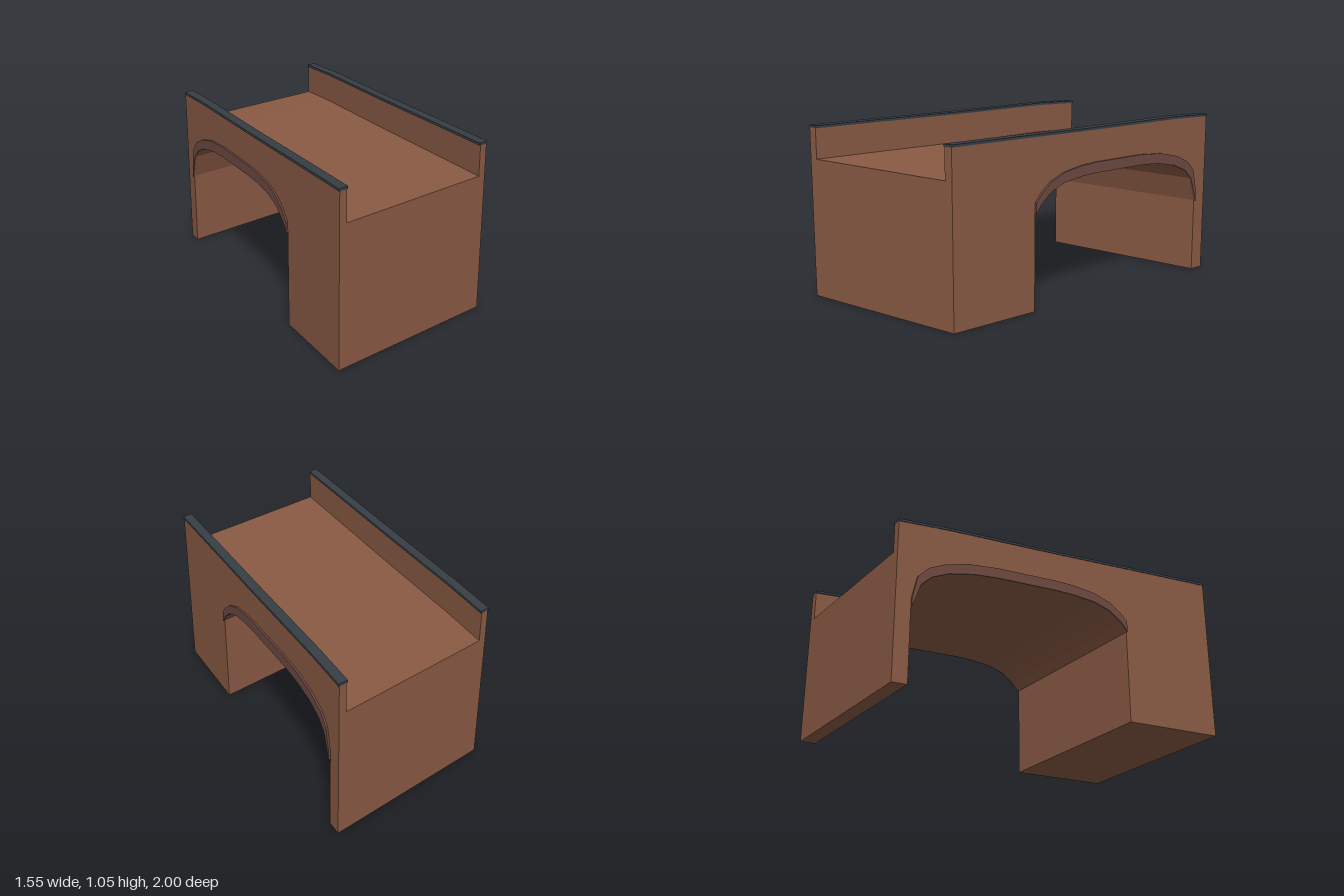
import * as THREE from 'three';

const SKEW = 0.215; // sideways shift of the bridge per unit of z

const brick = new THREE.MeshStandardMaterial({ color: 0x8a5a44 });
brick.name = 'brick';
const archBrick = new THREE.MeshStandardMaterial({ color: 0x6d4941 });
archBrick.name = 'arch brick';
const slate = new THREE.MeshStandardMaterial({ color: 0x373e44 });
slate.name = 'slate coping';

// Road line [z, y], sagging gently towards the back
const road = [[1, 0.85], [0.6, 0.846], [0, 0.838], [-0.7, 0.835], [-1, 0.824]];

// Underside and upper edge of the arch ring [z, y], front to back
const intrados = [[0.43, 0.585], [0.39, 0.64], [0.32, 0.7], [0.22, 0.74], [0.08, 0.76], [-0.03, 0.765],
  [-0.4, 0.765], [-0.55, 0.755], [-0.7, 0.725], [-0.8, 0.68], [-0.86, 0.62], [-0.91, 0.465]];
const extrados = [[0.43, 0.65], [0.39, 0.7], [0.32, 0.757], [0.22, 0.8], [0.08, 0.824], [-0.03, 0.83],
  [-0.4, 0.83], [-0.58, 0.816], [-0.72, 0.782], [-0.82, 0.735], [-0.88, 0.67], [-0.91, 0.53]];

const raise = (line, dy) => line.map(([z, y]) => [z, y + dy]);

// Closed band between two lines running the same way
const band = (lower, upper) => [...lower, ...[...upper].reverse()];

// Side profile [z, y] extruded from x0 to x1, then sheared along the skew
function skewed(name, outline, x0, x1, material) {
  const shape = new THREE.Shape(outline.map(([z, y]) => new THREE.Vector2(z, y)));
  const geo = new THREE.ExtrudeGeometry(shape, { depth: x1 - x0, bevelEnabled: false });
  geo.rotateY(-Math.PI / 2).translate(x1, 0, 0);
  const p = geo.attributes.position;
  for (let i = 0; i < p.count; i++) p.setX(i, p.getX(i) - SKEW * p.getZ(i));
  geo.computeVertexNormals();
  const mesh = new THREE.Mesh(geo, material);
  mesh.name = name;
  return mesh;
}

export function createModel() {
  const bridge = new THREE.Group();
  bridge.name = 'skewBridge';

  // Piers, barrel vault and road deck in one solid
  const bodyOutline = [[1, 0], [0.43, 0], ...intrados, [-0.91, 0], [-1, 0], ...[...road].reverse()];
  bridge.add(skewed('body', bodyOutline, -0.555, 0.555, brick));

  // Parapet, coping and raised arch ring on each side
  const parapet = band(road, raise(road, 0.185));
  const coping = band(raise(road, 0.185), raise(road, 0.2));
  const ring = band(intrados, extrados);
  for (const [side, s] of [['left', 1], ['right', -1]]) {
    const add = (name, outline, a, b, material) =>
      bridge.add(skewed(side + name, outline, Math.min(s * a, s * b), Math.max(s * a, s * b), material));
    add('Parapet', parapet, 0.505, 0.555, brick);
    add('Coping', coping, 0.498, 0.559, slate);
    add('ArchRing', ring, 0.555, 0.567, archBrick);
  }
  return bridge;
}
